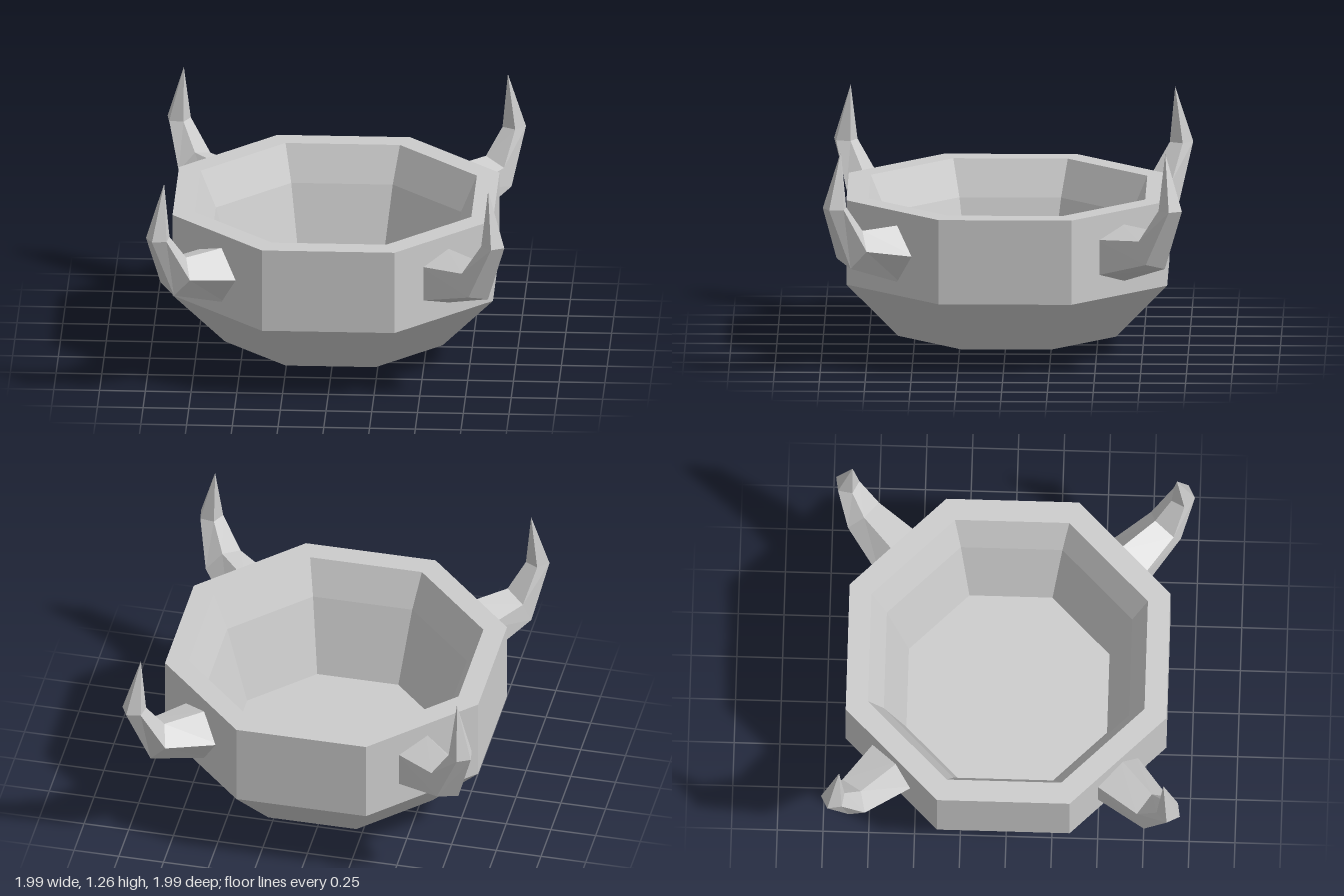
import * as THREE from 'three';

const SIDES = 5;

// Pentagonal sections of a horn: d = distance outward, y = height,
// r = radius, lean = how far the section plane turns from vertical.
const SECTIONS = [
  { d: 0.85, y: 0.638, r: 0.17, lean: 0 },
  { d: 1.168, y: 0.705, r: 0.115, lean: 0.42 },
  { d: 1.297, y: 0.95, r: 0.068, lean: Math.PI / 2 },
  { d: 1.253, y: 1.26, r: 0, lean: Math.PI / 2 },
];

// Skins the sections into a curved spike pointing along +z and then up.
function hornGeometry() {
  const positions = [];
  const index = [];
  for (const { d, y, r, lean } of SECTIONS) {
    for (let i = 0; i < SIDES; i++) {
      const a = (i / SIDES) * Math.PI * 2;
      const up = r * Math.sin(a);
      positions.push(
        r * Math.cos(a) - 0.015,
        y + up * (lean > 1 ? 0 : Math.cos(lean)),
        d - up * Math.sin(lean),
      );
    }
  }
  for (let s = 0; s < SECTIONS.length - 1; s++) {
    for (let i = 0; i < SIDES; i++) {
      const j = (i + 1) % SIDES;
      const a = s * SIDES + i;
      const b = s * SIDES + j;
      index.push(a, b, b + SIDES);
      if (s < SECTIONS.length - 2) index.push(a, b + SIDES, a + SIDES);
      else index[index.length - 1] = a + SIDES;
    }
  }
  const geometry = new THREE.BufferGeometry();
  geometry.setAttribute('position', new THREE.Float32BufferAttribute(positions, 3));
  geometry.setIndex(index);
  geometry.computeVertexNormals();
  return geometry;
}

export function createModel() {
  const model = new THREE.Group();
  model.name = 'hornedBowl';
  const material = new THREE.MeshStandardMaterial({ color: 0xcccccc, flatShading: true });

  // Eight-sided bowl: outer shell, flat rim, sloping inside wall and floor.
  const profile = [
    [0, 0], [0.644, 0.1], [0.948, 0.41], [0.948, 0.88],
    [0.817, 0.88], [0.725, 0.68], [0.593, 0.25], [0, 0.25],
  ].map(([x, y]) => new THREE.Vector2(x, y));
  const bowl = new THREE.Mesh(new THREE.LatheGeometry(profile, 8, Math.PI / 8), material);
  bowl.name = 'bowl';
  model.add(bowl);

  // One horn on each diagonal face.
  const horn = hornGeometry();
  ['frontLeftHorn', 'backLeftHorn', 'backRightHorn', 'frontRightHorn'].forEach((name, i) => {
    const mesh = new THREE.Mesh(horn, material);
    mesh.name = name;
    mesh.rotation.y = Math.PI / 4 + (i * Math.PI) / 2;
    model.add(mesh);
  });

  // Centre the bounds.
  model.children.forEach((part) => part.position.set(0.005, 0, -0.012));
  return model;
}
